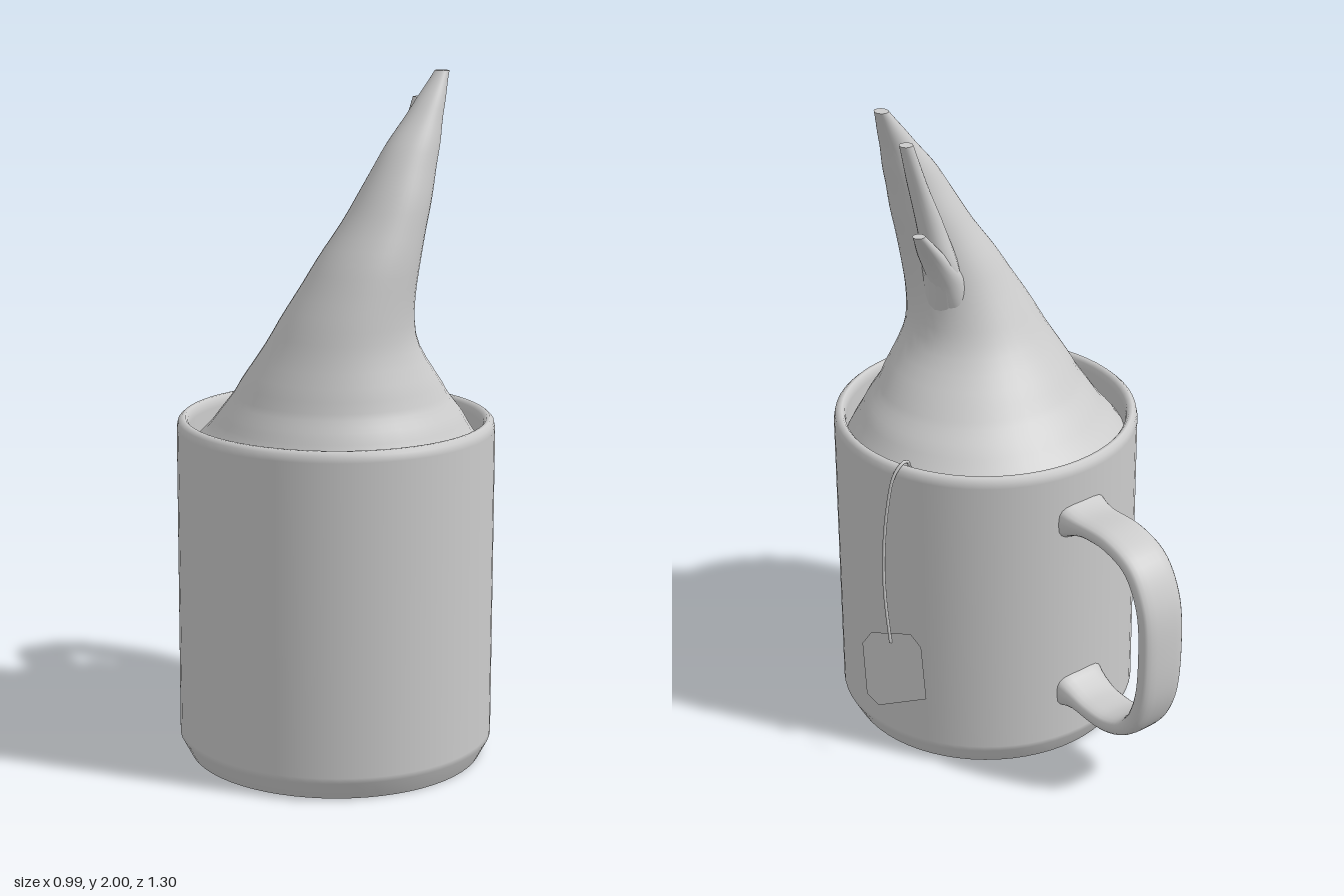
import * as THREE from 'three';

const V = (x, y, z) => new THREE.Vector3(x, y, z);
const CX = -0.035, CZ = 0.19; // mug axis

// Ring across direction dir: half size ru along x, rv along dir x X; power < 1 squares it off.
function ring(c, dir, ru, rv, n, power = 1) {
  const u = V(1, 0, 0);
  const v = dir.clone().cross(u).normalize();
  const soft = (k) => Math.sign(k) * Math.abs(k) ** power;
  return Array.from({ length: n }, (_, j) => {
    const t = (j / n) * Math.PI * 2;
    return c.clone().addScaledVector(u, ru * soft(Math.cos(t))).addScaledVector(v, rv * soft(Math.sin(t)));
  });
}

// Skin a list of equal rings into a smooth closed tube.
function loft(rings) {
  const n = rings[0].length, index = [];
  for (let i = 0; i < rings.length - 1; i++) {
    for (let j = 0; j < n; j++) {
      const a = i * n + j, b = i * n + (j + 1) % n;
      index.push(a, b, a + n, b, b + n, a + n);
    }
  }
  const g = new THREE.BufferGeometry().setFromPoints(rings.flat());
  g.setIndex(index);
  g.computeVertexNormals();
  return g;
}

// Upright horn from level sections [y, xMin, xMax, zMin, zMax], with a flat tip.
function horn(sections, steps, sides) {
  const up = V(0, 1, 0);
  const centres = new THREE.CatmullRomCurve3(
    sections.map(([y, x0, x1, z0, z1]) => V((x0 + x1) / 2, y, (z0 + z1) / 2)), false, 'centripetal');
  const sizes = new THREE.CatmullRomCurve3(
    sections.map(([y, x0, x1, z0, z1]) => V((x1 - x0) / 2, y, (z1 - z0) / 2)), false, 'catmullrom', 0.4);
  const rings = [];
  for (let i = 0; i <= steps; i++) {
    const c = centres.getPoint(i / steps), s = sizes.getPoint(i / steps);
    rings.push(ring(c, up, s.x, s.z, sides));
  }
  const tip = rings[steps], end = centres.getPoint(1);
  rings.push(tip.map((p) => p.clone()), tip.map(() => end.clone()));
  return loft(rings);
}

export function createModel() {
  const group = new THREE.Group();
  const grey = new THREE.MeshStandardMaterial({ color: 0xcccccc });
  const greyThin = new THREE.MeshStandardMaterial({ color: 0xcccccc, side: THREE.DoubleSide });
  const add = (name, geometry, material = grey) => {
    const mesh = new THREE.Mesh(geometry, material);
    mesh.name = name;
    group.add(mesh);
    return mesh;
  };

  // Mug body: bevelled foot, straight wall, rounded rim, hollow inside
  const profile = [
    [0, 0], [0.433, 0], [0.433, 0], [0.462, 0.055], [0.462, 0.07], [0.462, 0.98], [0.458, 1.0],
    [0.447, 1.01], [0.437, 1.01], [0.429, 1.0], [0.426, 0.98], [0.426, 0.08], [0.426, 0.08], [0, 0.08],
  ].map(([r, y]) => new THREE.Vector2(r, y));
  add('mugBody', new THREE.LatheGeometry(profile, 64)).position.set(CX, 0, CZ);

  // Handle: flat rounded band flaring where it meets the wall
  const path = new THREE.CatmullRomCurve3([
    [-0.24, 0.83], [-0.3, 0.834], [-0.37, 0.84], [-0.45, 0.838], [-0.545, 0.8], [-0.605, 0.7], [-0.622, 0.54],
    [-0.605, 0.36], [-0.55, 0.255], [-0.46, 0.212], [-0.37, 0.21], [-0.3, 0.222], [-0.24, 0.23],
  ].map(([z, y]) => V(CX, y, z)));
  const handleRings = [];
  for (let i = 0; i <= 60; i++) {
    const t = i / 60, p = path.getPointAt(t);
    const flare = THREE.MathUtils.clamp((p.z + 0.36) / 0.1, 0, 1) ** 2;
    handleRings.push(ring(p, path.getTangentAt(t), 0.075 + 0.014 * flare, 0.029 + 0.032 * flare, 20, 0.65));
  }
  add('handle', loft(handleRings));

  // Splash: liquid filling the mug and rising into a leaning, tapering horn
  add('splash', horn([
    [0.92, CX - 0.426, CX + 0.426, CZ - 0.426, CZ + 0.426],
    [1.01, -0.40, 0.33, -0.14, 0.57],
    [1.09, -0.355, 0.265, -0.06, 0.53],
    [1.27, -0.265, 0.145, 0.075, 0.485],
    [1.45, -0.165, 0.14, 0.155, 0.47],
    [1.62, -0.05, 0.175, 0.205, 0.44],
    [1.78, 0.05, 0.215, 0.24, 0.395],
    [1.9, 0.15, 0.245, 0.255, 0.35],
    [2.0, 0.235, 0.275, 0.262, 0.308],
  ], 40, 40));

  // Two smaller spikes branching off the back of the splash
  add('upperSpike', horn([
    [1.34, 0.0, 0.12, 0.19, 0.33],
    [1.5, 0.05, 0.15, 0.165, 0.29],
    [1.64, 0.1, 0.18, 0.178, 0.26],
    [1.78, 0.16, 0.215, 0.18, 0.245],
    [1.92, 0.215, 0.255, 0.178, 0.218],
  ], 20, 20));
  add('lowerSpike', horn([
    [1.36, 0.0, 0.1, 0.17, 0.28],
    [1.46, 0.03, 0.14, 0.165, 0.278],
    [1.55, 0.11, 0.185, 0.155, 0.25],
    [1.66, 0.218, 0.255, 0.127, 0.163],
  ], 16, 20));

  // String hanging over the rim down to the tag
  const string = new THREE.CatmullRomCurve3([
    V(0.335, 0.97, 0.08), V(0.355, 1.005, 0.062), V(0.385, 1.018, 0.048), V(0.415, 0.985, 0.05),
    V(0.434, 0.87, 0.063), V(0.443, 0.7, 0.075), V(0.444, 0.57, 0.072), V(0.441, 0.415, 0.055),
  ]);
  add('string', new THREE.TubeGeometry(string, 48, 0.005, 8));

  // Tag: flat clipped square, outlined in z and y, leaning away from the wall
  const outline = [[-0.01, 0.467], [0.13, 0.42], [0.155, 0.375], [0.108, 0.225], [0.058, 0.205],
    [-0.105, 0.29], [-0.055, 0.44]].map(([z, y]) => new THREE.Vector2(z, y));
  const tag = new THREE.ShapeGeometry(new THREE.Shape(outline));
  const pos = tag.attributes.position;
  for (let i = 0; i < pos.count; i++) {
    const z = pos.getX(i), y = pos.getY(i);
    pos.setXYZ(i, 0.5215 + 0.247 * z - 0.226 * y, y, z);
  }
  // Flip the faces so they look outward
  tag.setIndex(Array.from(tag.index.array).reverse());
  tag.computeVertexNormals();
  add('tag', tag, greyThin);

  return group;
}
